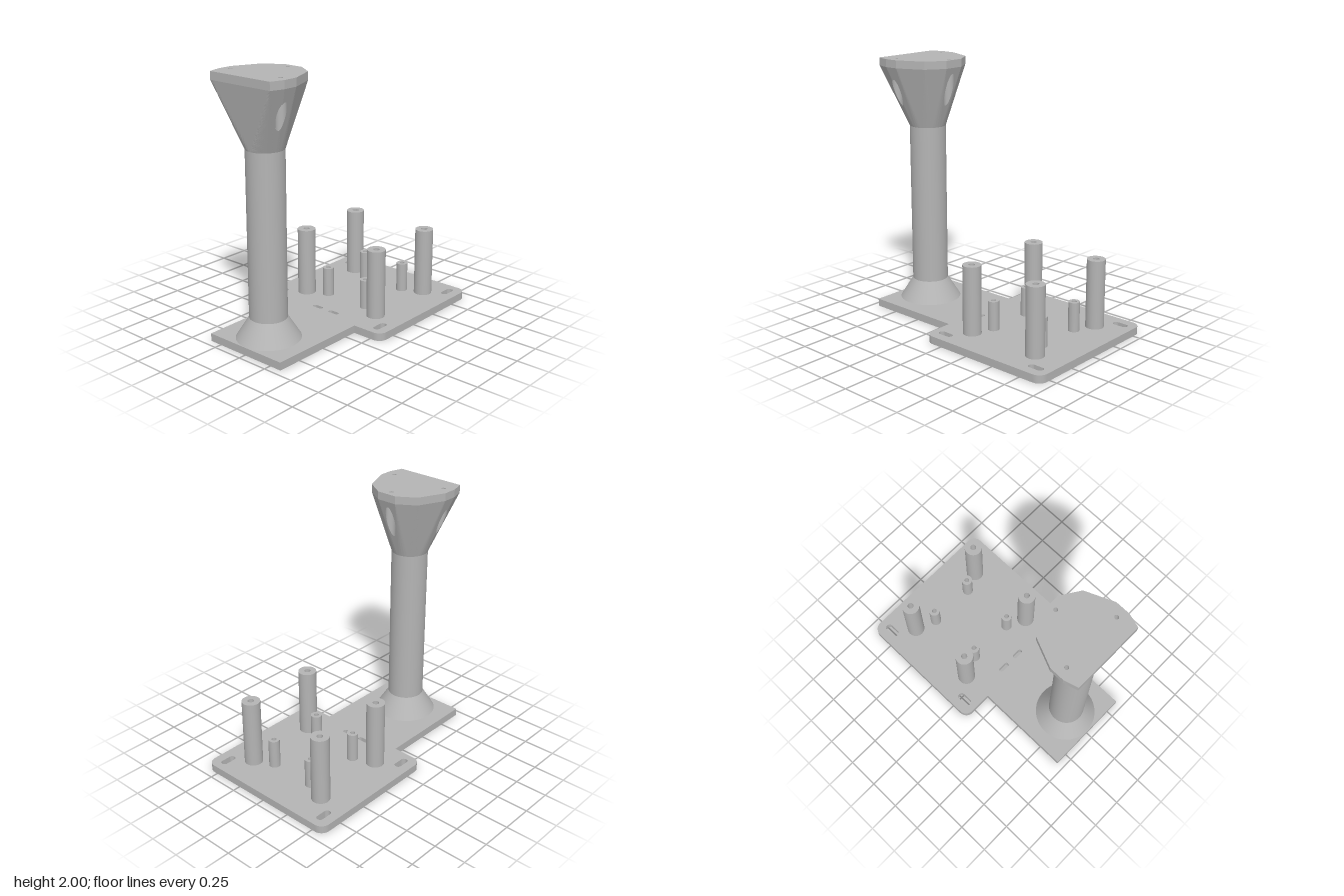
import * as THREE from 'three';
import { toCreasedNormals } from 'three/addons/utils/BufferGeometryUtils.js';

const grey = new THREE.MeshStandardMaterial({ color: 0xb4b4b4, side: THREE.DoubleSide });
grey.name = 'grey plastic';

const COL_X = -0.7, COL_R = 0.14;          // column axis and radius
const NECK_Y = 1.47, RIM_Y = 1.94, TOP_Y = 2;

// Closed loop for a round (or n-sided) hole
function ring(x, z, r, n = 32) {
  const pts = [];
  for (let i = 0; i < n; i++) {
    const a = (i / n) * Math.PI * 2;
    pts.push(new THREE.Vector2(x + r * Math.cos(a), -z + r * Math.sin(a)));
  }
  return pts;
}

// Rounded slot centred on x, z with half lengths hx, hz
function slot(x, z, hx, hz) {
  const r = Math.min(hx, hz), dx = hx - r, dz = hz - r;
  return ring(x, z, r).map((p) => new THREE.Vector2(
    p.x + Math.sign(Math.round((p.x - x) * 1e6)) * dx,
    p.y + Math.sign(Math.round((p.y + z) * 1e6)) * dz));
}

// Upright extrusion of a plan outline with holes
function slab(outline, holes, y, height, crease = 0.25) {
  const shape = new THREE.Shape(outline);
  holes.forEach((h) => shape.holes.push(new THREE.Path(h)));
  const g = new THREE.ExtrudeGeometry(shape, { depth: height, bevelEnabled: false });
  g.rotateX(-Math.PI / 2);
  g.translate(0, y, 0);
  return toCreasedNormals(g, crease);
}

// Narrow tongue joined to a wide plate with rounded corners
function baseOutline() {
  const s = new THREE.Shape(), r = 0.07, L = -0.155, R = 0.94, W = 0.6, P = Math.PI;
  s.moveTo(-0.945, -0.35);
  s.lineTo(L, -0.35);
  s.absarc(L + r, -W + r, r, P, 1.5 * P);
  s.absarc(R - r, -W + r, r, 1.5 * P, 2 * P);
  s.absarc(R - r, W - r, r, 0, 0.5 * P);
  s.absarc(L + r, W - r, r, 0.5 * P, P);
  s.lineTo(L, 0.35);
  s.lineTo(-0.945, 0.35);
  return s.getPoints(5);
}

// Head plan, relative to the column axis, in order of rising angle
const half = [[0.29, 0.08], [0.2, 0.22], [-0.01, 0.31], [-0.12, 0.31], [-0.225, 0.28]];
const headPlan = [...half, ...half.map(([x, z]) => [x, -z]).reverse()];
const bores = [[-0.08, 0.235], [-0.08, -0.235], [0.235, 0]];
const BORE_R = 0.04;

// Planes touching both the neck circle and the rim polygon
const angles = Array.from({ length: 40 }, (_, i) => (i / 40) * Math.PI * 2);
headPlan.forEach(([x, z], i) => {
  const [x2, z2] = headPlan[(i + 1) % headPlan.length];
  angles.push(Math.atan2(x - x2, z2 - z));
});
const planes = angles.map((a) => {
  const c = Math.cos(a), s = Math.sin(a);
  return [c, s, Math.max(...headPlan.map(([x, z]) => x * c + z * s))];
});
const flareY = (x, z) => Math.max(...planes.map(
  ([c, s, h]) => NECK_Y + (RIM_Y - NECK_Y) * (x * c + z * s - COL_R) / (h - COL_R)));

// Flared underside of the head, with the bores left open
function flareGeometry() {
  const rim = [], STEPS = 18, ROWS = 24, pos = [];
  headPlan.forEach(([x, z], i) => {
    const [x2, z2] = headPlan[(i + 1) % headPlan.length];
    for (let k = 0; k < STEPS; k++) rim.push([x + (x2 - x) * k / STEPS, z + (z2 - z) * k / STEPS]);
  });
  const grid = rim.map(([x, z]) => Array.from({ length: ROWS + 1 }, (_, j) => {
    const t = j / ROWS, k = COL_R / Math.hypot(x, z), f = k + (1 - k) * t;
    let px = x * f, pz = z * f, cut = false;
    bores.forEach(([bx, bz]) => {
      const dx = px - bx, dz = pz - bz, d = Math.hypot(dx, dz);
      if (d < BORE_R) {          // push onto the edge of the bore
        cut = true;
        px = bx + dx * BORE_R / Math.max(d, 1e-5);
        pz = bz + dz * BORE_R / Math.max(d, 1e-5);
      }
    });
    return { p: [px, flareY(px, pz), pz], cut };
  }));
  const tri = (...v) => {
    if (!v.every((q) => q.cut)) v.forEach((q) => pos.push(...q.p));
  };
  grid.forEach((row, i) => {
    const next = grid[(i + 1) % grid.length];
    for (let j = 0; j < ROWS; j++) {
      tri(row[j], row[j + 1], next[j]);
      tri(next[j], row[j + 1], next[j + 1]);
    }
  });
  const g = new THREE.BufferGeometry();
  g.setAttribute('position', new THREE.Float32BufferAttribute(pos, 3));
  g.computeVertexNormals();
  return g;
}

// Inner wall of a bore, trimmed to the flare
function boreGeometry(bx, bz) {
  const g = new THREE.CylinderGeometry(BORE_R, BORE_R, 1, 32, 1, true);
  g.scale(-1, 1, 1);
  const p = g.attributes.position;
  for (let i = 0; i < p.count; i++) {
    const x = p.getX(i) + bx, z = p.getZ(i) + bz;
    p.setXYZ(i, x, p.getY(i) > 0 ? RIM_Y : flareY(x, z), z);
  }
  g.computeVertexNormals();
  return g;
}

export function createModel() {
  const model = new THREE.Group();
  const add = (parent, name, geometry) => {
    const m = new THREE.Mesh(geometry, grey);
    m.name = name;
    parent.add(m);
    return m;
  };

  // Standoffs: name, x, z, radius, bore, top, hex recess
  const posts = [];
  for (const x of [0.09, 0.69]) for (const z of [0.355, -0.35]) posts.push(['tallStandoff', x, z, 0.07, 0.024, 0.595, 0.04]);
  for (const x of [0.16, 0.62]) for (const z of [0.197, -0.183]) posts.push(['shortStandoff', x, z, 0.043, 0.019, 0.29, 0.028]);

  // Base plate with mounting slots and nut recesses
  const holes = posts.map(([, x, z, , , , hex]) => ring(x, z, hex, 6));
  for (const s of [1, -1]) {
    holes.push(slot(-0.04, s * 0.502, 0.062, 0.027), slot(0.82, s * 0.502, 0.062, 0.027));
    holes.push(slot(-0.08, s * 0.08, 0.018, 0.046));
  }
  add(model, 'basePlate', slab(baseOutline(), holes, 0, 0.06));

  for (const [name, x, z, r, bore, top] of posts) {
    add(model, name, slab(ring(x, z, r), [ring(x, z, bore)], 0.06, top - 0.06));
  }

  // Column with conical foot
  const column = new THREE.Group();
  column.name = 'column';
  column.position.x = COL_X;
  model.add(column);
  add(column, 'foot', new THREE.CylinderGeometry(COL_R, 0.24, 0.16, 48, 1, true)).position.y = 0.14;
  add(column, 'shaft', new THREE.CylinderGeometry(COL_R, COL_R, NECK_Y - 0.22, 48, 1, true)).position.y = (NECK_Y + 0.22) / 2;

  // Flared head with screw holes
  const head = new THREE.Group();
  head.name = 'head';
  column.add(head);
  add(head, 'headFlare', flareGeometry());
  add(head, 'headTop', slab(headPlan.map(([x, z]) => new THREE.Vector2(x, -z)),
    bores.map(([x, z]) => ring(x, z, 0.016, 20)), RIM_Y, TOP_Y - RIM_Y, 0.2));
  bores.forEach(([x, z]) => add(head, 'screwBore', boreGeometry(x, z)));
  return model;
}
